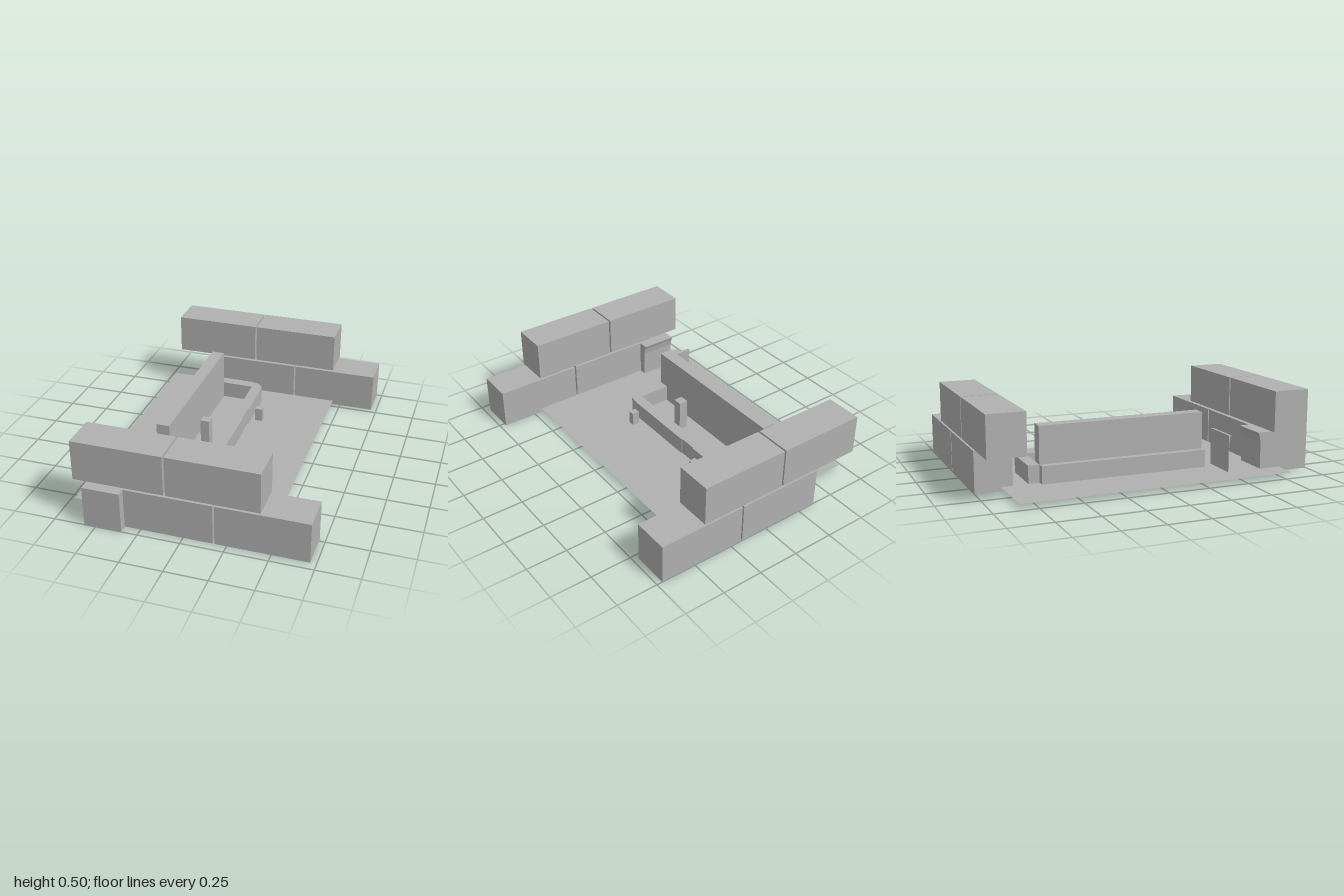
import * as THREE from 'three';

export function createModel() {
  const model = new THREE.Group();
  const grey = new THREE.MeshStandardMaterial({ color: 0xb0b0b0 });
  grey.name = 'concreteGrey';
  const sheetGrey = grey; // one colour throughout
  sheetGrey.side = THREE.DoubleSide;

  const add = (name, geometry, parent = model) => {
    const mesh = new THREE.Mesh(geometry, grey);
    mesh.name = name;
    parent.add(mesh);
    return mesh;
  };
  // Box given by its minimum and maximum on each axis
  const box = (name, x0, x1, y0, y1, z0, z1, parent) =>
    add(name, new THREE.BoxGeometry(x1 - x0, y1 - y0, z1 - z0), parent)
      .position.set((x0 + x1) / 2, (y0 + y1) / 2, (z0 + z1) / 2);
  const shapeOf = (points) => new THREE.Shape(points.map(([a, b]) => new THREE.Vector2(a, b)));

  const floorY = 0.025;

  // Floor sheet
  const floor = add('floor', new THREE.PlaneGeometry(1.165, 1.66).rotateX(-Math.PI / 2));
  floor.position.set(-0.1325, floorY, -0.02);

  // Two walls of staggered blocks
  for (const [name, z] of [['backWall', -1], ['frontWall', 0.727]]) {
    const wall = new THREE.Group();
    wall.name = name;
    model.add(wall);
    for (const x of [-0.363, 0.181]) box('lowerBlock', x, x + 0.534, 0, 0.245, z, z + 0.22, wall);
    for (const x of [-0.642, -0.096]) box('upperBlock', x, x + 0.535, 0.257, 0.5, z, z + 0.22, wall);
  }

  // Parts with a (z, y) profile running along x
  const alongX = (name, points) => {
    const geometry = new THREE.ExtrudeGeometry(shapeOf(points), { depth: 0.223, bevelEnabled: false });
    const mesh = add(name, geometry.rotateY(-Math.PI / 2));
    mesh.position.x = -0.345;
  };
  alongX('flaredPillar', [[0.997, 0], [0.997, 0.245], [0.664, 0.245], [0.673, 0.222], [0.68, 0.185], [0.68, 0]]);
  alongX('flaredPanel', [[0.467, 0], [0.47, 0], [0.47, 0.185], [0.474, 0.222], [0.484, 0.245], [0.467, 0.245]]);

  // Bench: tall back, low ledge behind it and a rounded rim around the front
  box('benchBack', -0.36, -0.28, floorY, 0.352, -0.624, 0.398);
  box('benchLedge', -0.404, -0.36, floorY, 0.13, -0.624, 0.398);
  const rim = shapeOf([
    [-0.36, -0.69], [-0.11, -0.688], [-0.055, -0.678], [-0.025, -0.655], [-0.012, -0.62],
    [-0.01, -0.31], [-0.016, -0.3], [-0.016, -0.2], [-0.01, -0.19],
    [-0.012, 0.3], [-0.02, 0.355], [-0.05, 0.388], [-0.1, 0.396], [-0.36, 0.398],
    [-0.36, 0.33], [-0.08, 0.33], [-0.08, -0.62], [-0.36, -0.624],
  ]);
  const rimGeometry = new THREE.ExtrudeGeometry(rim, { depth: 0.13 - floorY, bevelEnabled: false });
  add('benchRim', rimGeometry.rotateX(Math.PI / 2)).position.y = 0.13;

  // Small posts
  box('tallPost', -0.205, -0.149, floorY, 0.222, 0.01, 0.068);
  for (const z of [-0.41, 0.222]) box('shortPost', 0.019, 0.065, floorY, 0.11, z, z + 0.042);

  return model;
}
